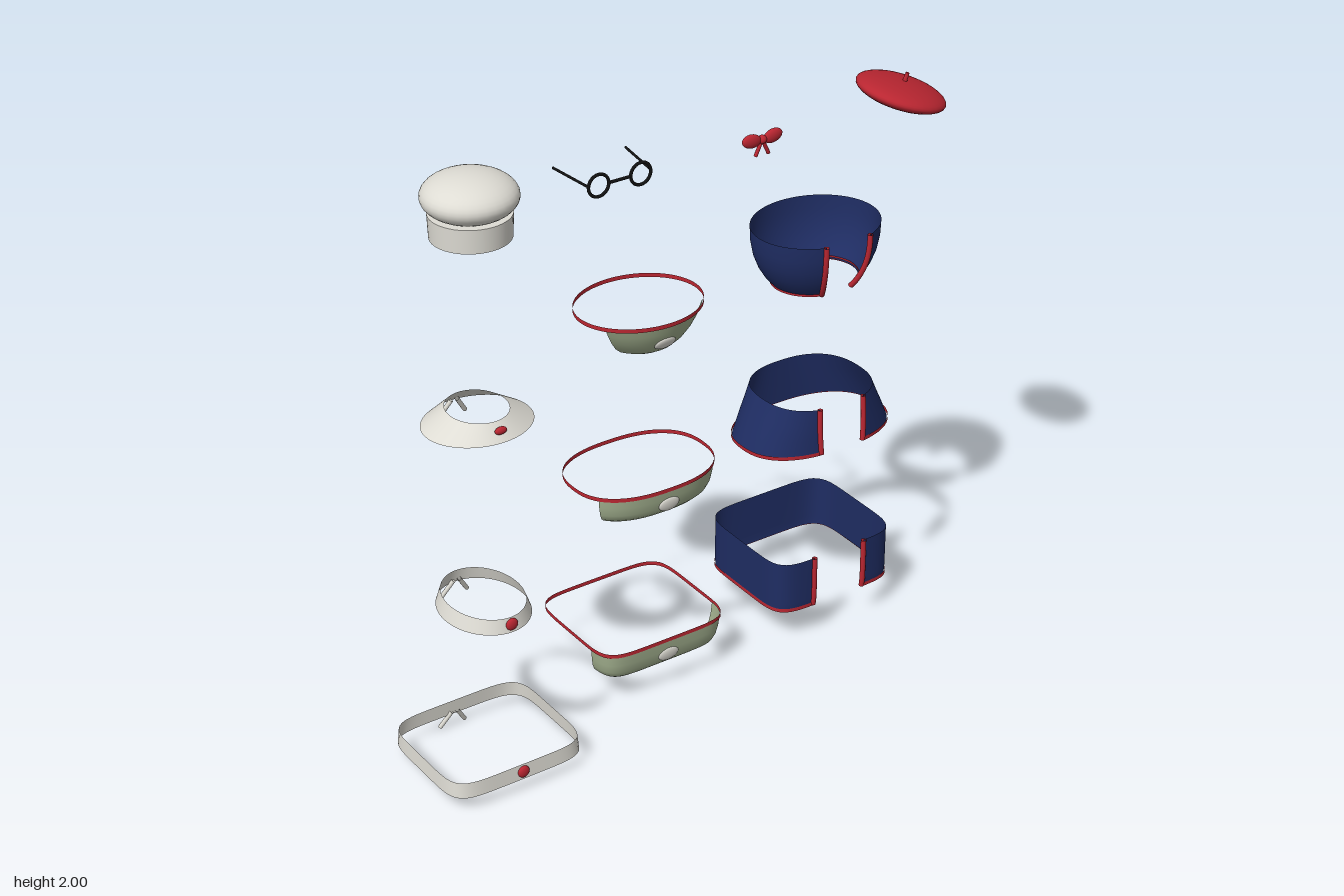
import * as THREE from 'three';

const mat = (name, color, side = THREE.FrontSide) => {
  const m = new THREE.MeshStandardMaterial({ color, side });
  m.name = name;
  return m;
};

export function createModel() {
  const D = THREE.DoubleSide;
  const white = mat('warm white', 0xdedcd4, D);
  const red = mat('red', 0xba2631, D);
  const navy = mat('navy', 0x1f2d63, D);
  const sage = mat('sage green', 0xa3b18f, D);
  const black = mat('black', 0x111111);
  const root = new THREE.Group();
  const rad = THREE.MathUtils.degToRad;

  const group = (name, x, y, z) => {
    const g = new THREE.Group();
    g.name = name;
    g.position.set(x, y, z);
    root.add(g);
    return g;
  };
  const add = (parent, name, geo, material, x = 0, y = 0, z = 0) => {
    const m = new THREE.Mesh(geo, material);
    m.name = name;
    m.position.set(x, y, z);
    parent.add(m);
    return m;
  };
  const ball = (parent, name, material, p, s) => {
    const m = add(parent, name, new THREE.SphereGeometry(1, 32, 20), material, ...p);
    m.scale.set(...s);
    return m;
  };
  const rod = (parent, name, material, a, b, r) => {
    const curve = new THREE.LineCurve3(new THREE.Vector3(...a), new THREE.Vector3(...b));
    return add(parent, name, new THREE.TubeGeometry(curve, 1, r, 10), material);
  };

  // Point on a rounded outline: row = [y, half width, half depth], n = squareness
  const outline = ([y, hx, hz], n, t) => {
    const s = Math.sin(t), c = Math.cos(t);
    const r = (Math.abs(s) ** n + Math.abs(c) ** n) ** (-1 / n);
    return new THREE.Vector3(s * r * hx, y, c * r * hz);
  };
  // Sheet through stacked outlines; range(i) gives the start and end angle of a row
  const sheet = (rows, n, range, seg = 96) => {
    const pos = [], idx = [];
    rows.forEach((row, i) => {
      const [a, b] = range(i);
      for (let j = 0; j <= seg; j++) {
        pos.push(...outline(row, n, a + (b - a) * j / seg).toArray());
        if (i && j < seg) {
          const q = i * (seg + 1) + j, p = q - seg - 1;
          idx.push(p, p + 1, q, p + 1, q + 1, q);
        }
      }
    });
    const g = new THREE.BufferGeometry();
    g.setAttribute('position', new THREE.Float32BufferAttribute(pos, 3));
    g.setIndex(idx);
    g.computeVertexNormals();
    return g;
  };
  const full = () => [0, Math.PI * 2];

  // Tall hat
  const hat = group('chefHat', -0.72, 0, 0.1);
  add(hat, 'hatBand', new THREE.CylinderGeometry(0.123, 0.12, 0.075, 48), white, 0, 1.843, 0);
  ball(hat, 'hatPuff', white, [0, 1.931, 0], [0.143, 0.069, 0.143]);

  // Round glasses
  const glasses = group('glasses', -0.217, 1.846, 0.1);
  rod(glasses, 'bridge', black, [-0.037, 0, 0], [0.037, 0, 0], 0.005);
  for (const s of [-1, 1]) {
    add(glasses, 'lensRing', new THREE.TorusGeometry(0.035, 0.005, 10, 36), black, s * 0.073, 0, 0);
    rod(glasses, 'templeArm', black, [s * 0.108, 0.004, 0], [s * 0.127, 0.009, -0.16], 0.004);
  }

  // Bow tie
  const bow = group('bowTie', 0.287, 1.846, 0.105);
  ball(bow, 'knot', red, [0, 0, 0], [0.014, 0.014, 0.014]);
  for (const s of [-1, 1]) {
    ball(bow, 'bowWing', red, [s * 0.039, 0.003, 0], [0.034, 0.022, 0.013]).rotation.z = s * 0.15;
    rod(bow, 'bowTail', red, [s * 0.004, -0.008, 0], [s * 0.024, -0.05, 0], 0.006);
  }

  // Tilted beret
  const beret = group('beret', 0.813, 1.868, 0.1);
  beret.rotation.set(0.1, 0, -0.28);
  ball(beret, 'beretBody', red, [0, 0, 0], [0.147, 0.038, 0.142]);
  add(beret, 'beretStem', new THREE.CylinderGeometry(0.006, 0.008, 0.035, 12), red, 0, 0.047, 0);

  // White collars with a red brooch in front and tie ends at the back
  const collars = [
    { n: 2, rows: [[1.205, 0.172, 0.15], [1.254, 0.092, 0.105]], brooch: [1.236, 0.132, 0.012], tailZ: -0.135 },
    { n: 2, rows: [[0.563, 0.136, 0.168], [0.61, 0.118, 0.157]], brooch: [0.588, 0.163, 0.02], tailZ: -0.163 },
    { n: 6, rows: [[0.05, 0.238, 0.208], [0.102, 0.234, 0.204]], brooch: [0.076, 0.207, 0.02], tailZ: -0.208 },
  ];
  for (const { n, rows, brooch: [by, bz, bh], tailZ } of collars) {
    const g = group('collar', -0.72, 0, 0.1);
    add(g, 'collarBand', sheet(rows, n, full), white);
    ball(g, 'brooch', red, [0, by, bz], [0.02, bh, 0.01]);
    const y = rows[0][0];
    for (const s of [-1, 1])
      rod(g, 'tieEnd', white, [s * 0.01, y + 0.012, tailZ + 0.004], [s * 0.045, y - 0.043, tailZ - 0.012], 0.007);
  }

  // Green bibs hanging from a thin red neck ring
  const bibs = [
    { n: 2, z: -0.06, half: 60, ring: [1.327, 0.21, 0.175], badge: [1.252, 0.144, -0.5],
      rows: [[1.2, 0.093, 0.093], [1.213, 0.12, 0.114], [1.235, 0.148, 0.134], [1.265, 0.172, 0.152], [1.295, 0.19, 0.164], [1.327, 0.205, 0.172]] },
    { n: 2.44, z: -0.062, half: 57, ring: [0.753, 0.246, 0.177], badge: [0.697, 0.168, -0.15],
      rows: [[0.658, 0.212, 0.145], [0.67, 0.226, 0.157], [0.69, 0.235, 0.166], [0.72, 0.241, 0.172], [0.753, 0.243, 0.175]] },
    { n: 6, z: -0.1, half: 62, ring: [0.197, 0.238, 0.212], badge: [0.138, 0.203, -0.15],
      rows: [[0.093, 0.205, 0.178], [0.105, 0.217, 0.192], [0.125, 0.226, 0.2], [0.155, 0.231, 0.207], [0.197, 0.235, 0.21]] },
  ];
  for (const { n, z, half, ring: [ry, hx, hz], badge, rows } of bibs) {
    const g = group('bib', -0.047, 0, z);
    add(g, 'bibPanel', sheet(rows, n, () => [-rad(half), rad(half)], 64), sage);
    add(g, 'neckRing', sheet([[ry - 0.007, hx, hz], [ry + 0.007, hx, hz]], n, full), red);
    ball(g, 'badge', white, [0, badge[0], badge[1]], [0.038, 0.025, 0.008]).rotation.x = -badge[2];
  }

  // Navy capes, open at the front, edged in red; gaps = half opening per row in degrees
  const capes = [
    { n: 2, z: -0.06, gaps: [23, 23],
      rows: [[1.225, 0.145, 0.125], [1.25, 0.168, 0.143], [1.285, 0.19, 0.161], [1.325, 0.206, 0.175], [1.37, 0.215, 0.183], [1.418, 0.217, 0.185]] },
    { n: 2.44, z: -0.062, gaps: [17.5, 25],
      rows: [[0.685, 0.268, 0.177], [0.74, 0.244, 0.176], [0.79, 0.219, 0.175], [0.843, 0.194, 0.174]] },
    { n: 6, z: -0.098, gaps: [23, 23], rows: [[0.122, 0.236, 0.21], [0.15, 0.236, 0.213], [0.3, 0.236, 0.213]] },
  ];
  for (const { n, z, gaps, rows } of capes) {
    const g = group('cape', 0.622, 0, z);
    const gap = i => rad(gaps[0] + (gaps[1] - gaps[0]) * i / (rows.length - 1));
    add(g, 'capeShell', sheet(rows, n, i => [gap(i), Math.PI * 2 - gap(i)]), navy);
    const [y, hx, hz] = rows[0];
    const hem = [[y - 0.004, hx + 0.003, hz + 0.003], [y + 0.009, hx + 0.003, hz + 0.003]];
    add(g, 'hemTrim', sheet(hem, n, () => [gap(0), Math.PI * 2 - gap(0)]), red);
    for (const s of [-1, 1]) {
      const edge = new THREE.CatmullRomCurve3(rows.map((r, i) => outline(r, n, s * gap(i))));
      add(g, 'frontTrim', new THREE.TubeGeometry(edge, 24, 0.009, 10), red);
    }
  }
  return root;
}
